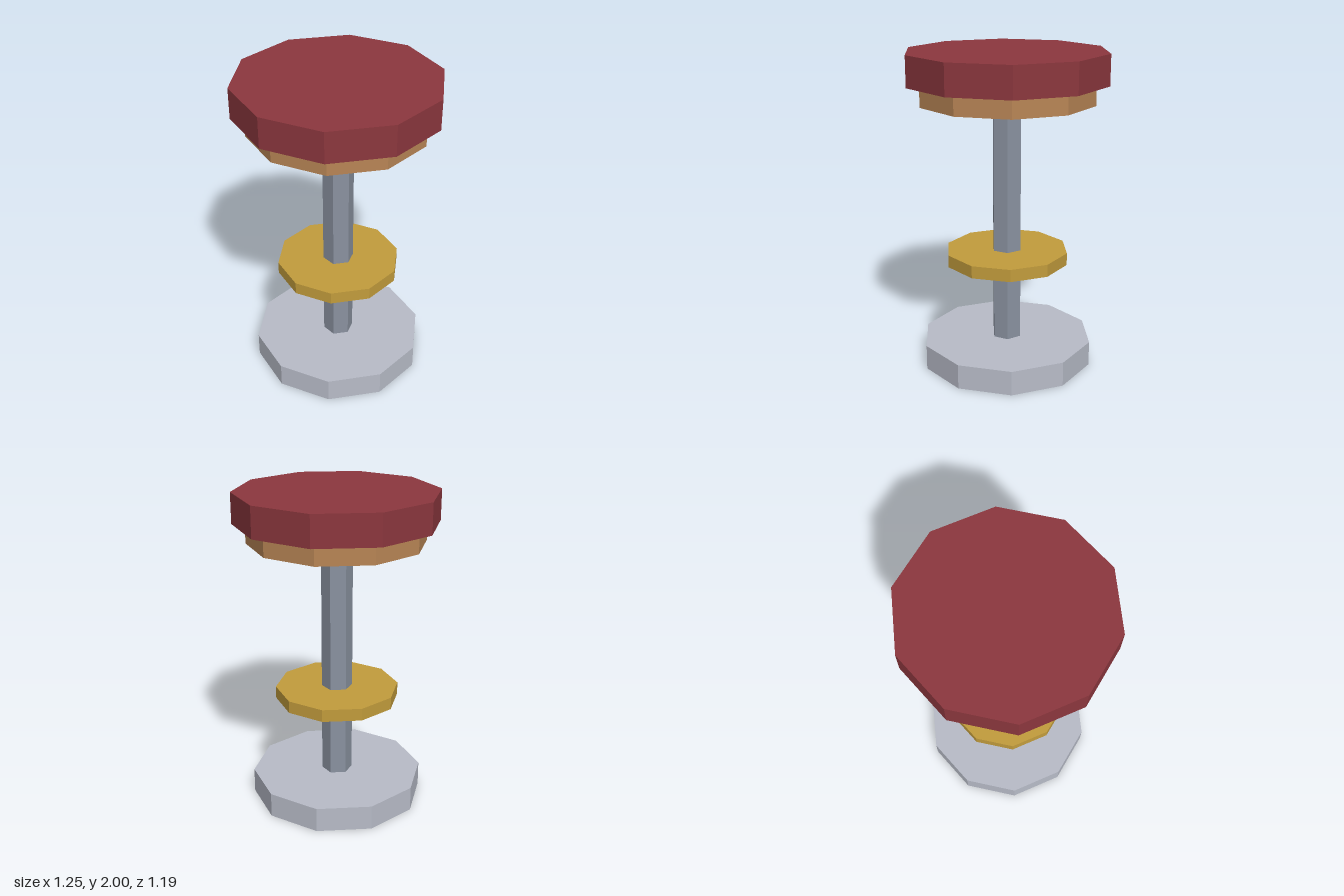
import * as THREE from 'three';

const paint = (name, color) => {
  const m = new THREE.MeshStandardMaterial({ color, flatShading: true });
  m.name = name;
  return m;
};

export function createModel() {
  const stool = new THREE.Group();
  stool.name = 'barStool';

  // Upright prism between two heights, with a corner on the x axis
  const prism = (name, radius, bottom, top, sides, material) => {
    const geometry = new THREE.CylinderGeometry(radius, radius, top - bottom, sides, 1, false, Math.PI / 2);
    const mesh = new THREE.Mesh(geometry, material);
    mesh.name = name;
    mesh.position.y = (bottom + top) / 2;
    stool.add(mesh);
  };

  prism('base', 0.547, 0, 0.157, 10, paint('pale metal', 0xb8bcc8));
  prism('post', 0.097, 0.157, 1.69, 6, paint('steel', 0x8a92a0));
  prism('footrest', 0.39, 0.672, 0.75, 10, paint('brass', 0xc29c3c));
  prism('seatFrame', 0.547, 1.69, 1.81, 10, paint('wood', 0xb88555));
  prism('cushion', 0.626, 1.81, 2, 10, paint('red leather', 0x8c373e));

  return stool;
}
